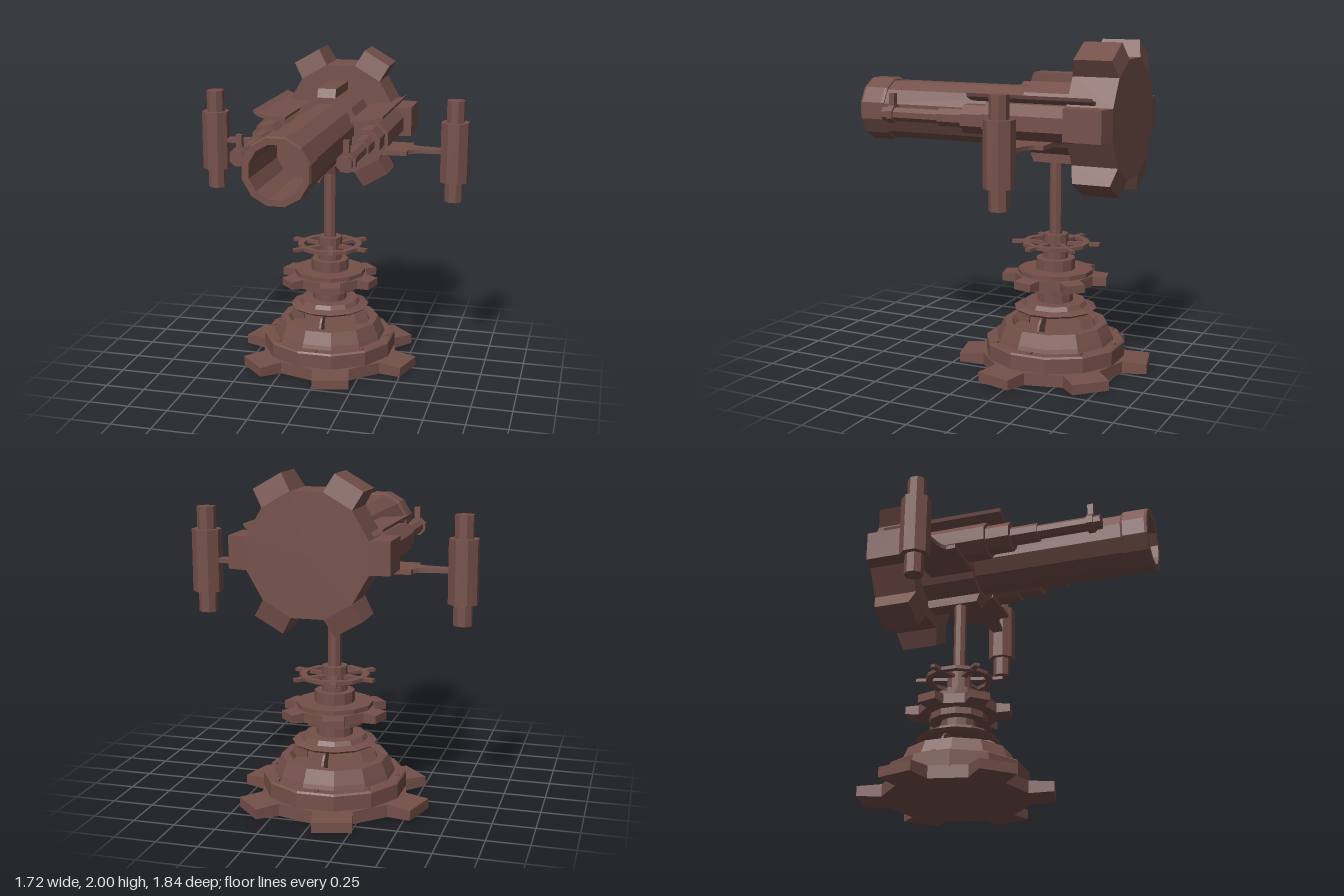
import * as THREE from 'three';

const material = new THREE.MeshStandardMaterial({ color: 0x75504a, flatShading: true });
const doubleSided = material.clone();
doubleSided.side = THREE.DoubleSide;

function add(parent, name, geometry, x = 0, y = 0, z = 0, mat = material) {
  const mesh = new THREE.Mesh(geometry, mat);
  mesh.name = name;
  mesh.position.set(x, y, z);
  parent.add(mesh);
  return mesh;
}

function group(parent, name, x = 0, y = 0, z = 0) {
  const g = new THREE.Group();
  g.name = name;
  g.position.set(x, y, z);
  parent.add(g);
  return g;
}

// Upright prism between two heights, with a flat side facing each axis
function drum(parent, name, y0, y1, r0, r1 = r0, sides = 12) {
  const g = new THREE.CylinderGeometry(r1, r0, y1 - y0, sides, 1, false, Math.PI / sides);
  return add(parent, name, g, 0, (y0 + y1) / 2, 0);
}

// Prism lying along z between z0 and z1 (z1 is the front)
function rod(parent, name, z0, z1, r0, r1 = r0, sides = 8) {
  const g = new THREE.CylinderGeometry(r1, r0, z1 - z0, sides, 1, false, Math.PI / sides);
  return add(parent, name, g.rotateX(Math.PI / 2), 0, 0, (z0 + z1) / 2);
}

// Twelve-sided prism along z; chosen sides are pulled out into teeth that thin towards the tip
function gear(parent, name, radius, tip, depth, inset, angles) {
  const g = group(parent, name);
  rod(g, 'gearBody', -depth / 2, depth / 2, radius, radius, 12);
  const apothem = radius * Math.cos(Math.PI / 12);
  const width = 2 * radius * Math.sin(Math.PI / 12);
  for (const deg of angles) {
    const tooth = new THREE.BoxGeometry(tip - apothem, width, depth);
    const p = tooth.attributes.position;
    for (let i = 0; i < p.count; i++) {
      if (p.getX(i) > 0) p.setZ(i, p.getZ(i) * (1 - 2 * inset / depth));
    }
    tooth.translate((tip + apothem) / 2, 0, 0).rotateZ(THREE.MathUtils.degToRad(deg));
    add(g, 'gearTooth', tooth);
  }
  return g;
}

const SIX = [0, 60, 120, 180, 240, 300];

function flatGear(parent, name, y, radius, tip, depth, inset) {
  const g = gear(parent, name, radius, tip, depth, inset, SIX);
  g.rotation.set(-Math.PI / 2, 0, THREE.MathUtils.degToRad(44));
  g.position.y = y;
}

function extrude(points, depth) {
  const shape = new THREE.Shape(points.map(([x, y]) => new THREE.Vector2(x, y)));
  return new THREE.ExtrudeGeometry(shape, { depth, bevelEnabled: false });
}

function lathe(points, sides) {
  const g = new THREE.LatheGeometry(points.map(([x, y]) => new THREE.Vector2(x, y)), sides, Math.PI / sides);
  return g;
}

function buildStand(root) {
  const stand = group(root, 'stand', -0.016, 0, -0.332);
  // Foot, ring and dome
  flatGear(stand, 'footGear', 0.038, 0.444, 0.578, 0.076, 0.008);
  drum(stand, 'footRing', 0.07, 0.165, 0.43);
  drum(stand, 'footRingBevel', 0.165, 0.175, 0.43, 0.42);
  for (let i = 0; i < 8; i++) {
    const a = i * Math.PI / 4;
    const bolt = new THREE.BoxGeometry(0.025, 0.015, 0.025);
    add(stand, 'bolt', bolt, 0.385 * Math.cos(a), 0.178, 0.385 * Math.sin(a));
  }
  add(stand, 'dome', lathe([[0.365, 0.17], [0.355, 0.2], [0.32, 0.28], [0.275, 0.28],
    [0.25, 0.24], [0, 0.24]], 12), 0, 0, 0, doubleSided);

  // Curved ribs holding the column over the dome
  const rib = extrude([[0.275, 0.24], [0.262, 0.285], [0.25, 0.315], [0.225, 0.34], [0.18, 0.362],
    [0.115, 0.362], [0.145, 0.33], [0.17, 0.285], [0.175, 0.24]], 0.014).translate(0, 0, -0.007);
  for (let i = 0; i < 4; i++) add(stand, 'rib', rib).rotation.y = i * Math.PI / 2;

  // Stacked collars: bottom, top, lower radius, upper radius
  const collars = [[0.355, 0.37, 0.235, 0.255], [0.37, 0.385, 0.255, 0.21], [0.385, 0.412, 0.2, 0.185],
    [0.412, 0.485, 0.11, 0.11], [0.485, 0.53, 0.178, 0.178], [0.58, 0.612, 0.23, 0.23],
    [0.612, 0.68, 0.12, 0.12], [0.68, 0.83, 0.076, 0.076]];
  for (const [y0, y1, r0, r1] of collars) drum(stand, 'collar', y0, y1, r0, r1);
  flatGear(stand, 'columnGear', 0.555, 0.245, 0.318, 0.06, 0.006);

  // Open hand wheel: rim with six spokes reaching past it
  const wheel = group(stand, 'handWheel', 0, 0.77, 0);
  add(wheel, 'wheelRim', lathe([[0.17, -0.011], [0.21, -0.011], [0.21, 0.011], [0.17, 0.011],
    [0.17, -0.011]], 12), 0, 0, 0, doubleSided);
  for (let i = 0; i < 6; i++) {
    const spoke = new THREE.BoxGeometry(0.22, 0.02, 0.035).translate(0.158, 0, 0);
    add(wheel, 'wheelSpoke', spoke).rotation.y = i * Math.PI / 3 + THREE.MathUtils.degToRad(44);
  }
  drum(stand, 'pole', 0.83, 1.4, 0.04, 0.04, 8);
}

function buildGun(root) {
  // Hollow main barrel with a thicker muzzle collar
  const gun = group(root, 'gun', -0.008, 1.54, 0);
  const profile = [[0.184, -0.25], [0.184, 0.755], [0.191, 0.755], [0.2, 0.77], [0.2, 0.905], [0.192, 0.92],
    [0.155, 0.92], [0.15, 0.4], [0, 0.4]];
  add(gun, 'barrel', lathe(profile, 12).rotateX(Math.PI / 2), 0, 0, 0, doubleSided);

  // Receiver with a raised block above and below
  gear(gun, 'receiver', 0.222, 0.268, 0.36, 0.02, [90, 270]).position.z = -0.37;

  // Large toothed drum closing the back
  gear(root, 'rearGear', 0.36, 0.46, 0.28, 0.025, SIX).position.set(0, 1.557, -0.68);
}

function buildSide(root, s) {
  // Stepped side barrel with a sight
  const cannon = group(root, 'sideCannon', 0.307 * s, 1.545, 0);
  rod(cannon, 'cannonBody', -0.58, -0.04, 0.113);
  rod(cannon, 'cannonCollar', -0.04, 0.11, 0.091);
  rod(cannon, 'cannonSleeve', 0.11, 0.28, 0.058);
  rod(cannon, 'cannonBarrel', 0.28, 0.67, 0.044);
  rod(cannon, 'sightRing', 0.588, 0.628, 0.058);
  add(cannon, 'sightPost', new THREE.BoxGeometry(0.035, 0.085, 0.036), 0, 0.083, 0.608);

  // Thin guard plate curving over the side barrel
  const guard = [[0.2, 1.67], [0.26, 1.672], [0.33, 1.68], [0.37, 1.69], [0.402, 1.706],
    [0.395, 1.685], [0.36, 1.665], [0.3, 1.65], [0.2, 1.655]].map(([x, y]) => [x * s, y]);
  add(root, 'guardPlate', extrude(guard, 0.775).translate(0, 0, -0.713));

  // Flat arm narrowing outwards
  const half = [[0.19, 0.14], [0.5, 0.14], [0.5, 0.085], [0.53, 0.062], [0.57, 0.05], [0.7, 0.032]];
  const outline = [...half, ...half.slice().reverse().map(([x, z]) => [x, -z])];
  const arm = extrude(outline.map(([x, z]) => [x * s, z]), 0.026).rotateX(-Math.PI / 2);
  add(root, 'sideArm', arm, 0, 1.417, -0.33);

  // Upright pod at the end of the arm
  const pod = group(root, 'sidePod', 0.776 * s, 0, -0.33);
  drum(pod, 'podCore', 1.115, 1.75, 0.057, 0.057, 8);
  drum(pod, 'podShell', 1.24, 1.615, 0.09, 0.09, 8);
}

export function createModel() {
  const root = new THREE.Group();
  root.name = 'mountedCannon';
  buildStand(root);
  buildGun(root);
  for (const s of [-1, 1]) buildSide(root, s);
  return root;
}
